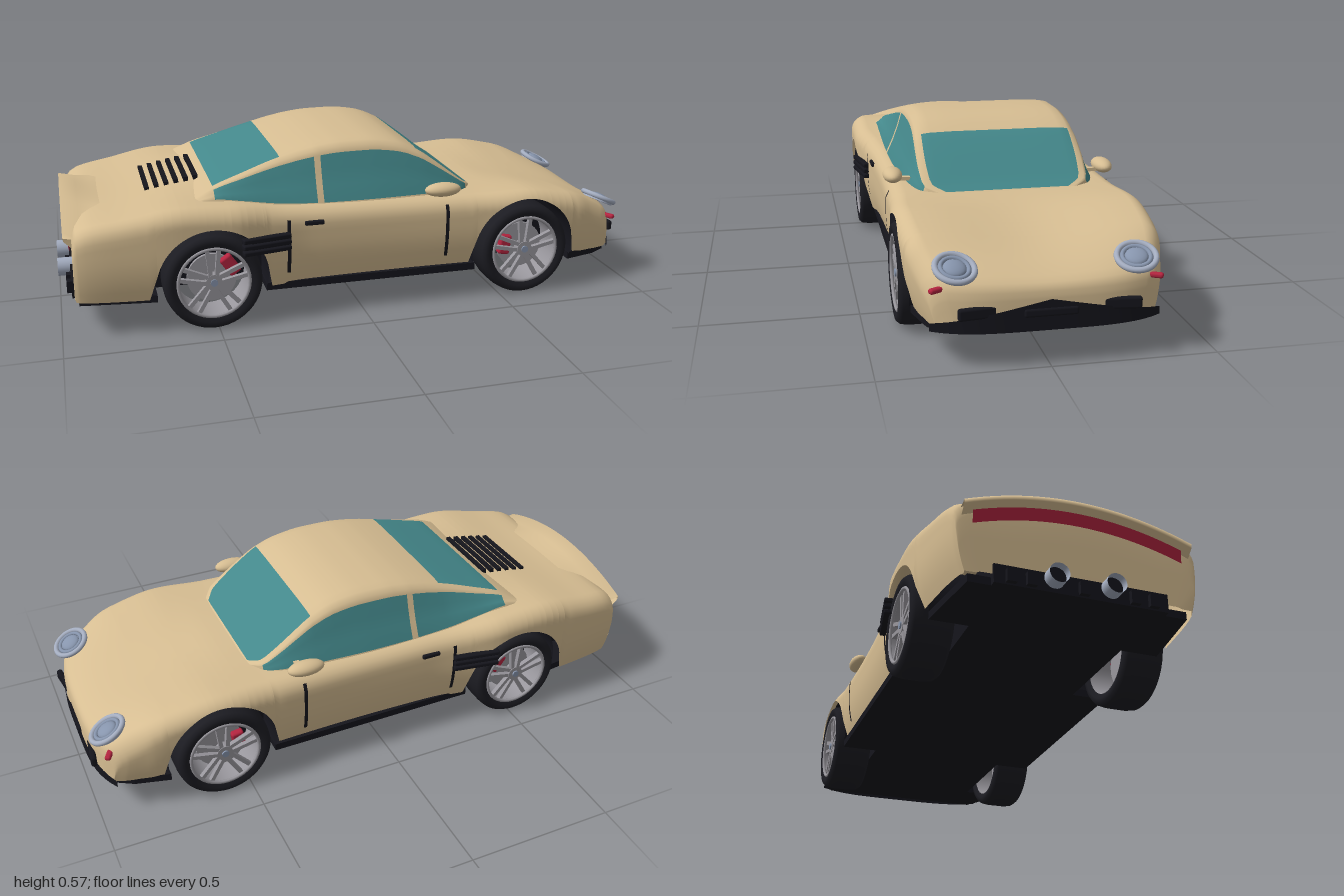
import * as THREE from 'three';
import { RoundedBoxGeometry } from 'three/addons/geometries/RoundedBoxGeometry.js';

const mat = (name, color, side = THREE.DoubleSide) => {
  const m = new THREE.MeshStandardMaterial({ color, side });
  m.name = name;
  return m;
};

// Smooth monotone curve through [x, y] points
function curve(pts) {
  const d = pts.slice(1).map((p, i) => (p[1] - pts[i][1]) / (p[0] - pts[i][0]));
  const m = pts.map((_, i) => {
    const a = d[i - 1] ?? d[i], b = d[i] ?? d[i - 1];
    return a * b <= 0 ? 0 : (2 * a * b) / (a + b);
  });
  return (x) => {
    if (x <= pts[0][0]) return pts[0][1];
    const i = pts.findIndex((p) => p[0] >= x) - 1;
    if (i < 0) return pts[pts.length - 1][1];
    const h = pts[i + 1][0] - pts[i][0], t = (x - pts[i][0]) / h, u = 1 - t;
    return u * u * (1 + 2 * t) * pts[i][1] + t * t * (3 - 2 * t) * pts[i + 1][1]
      + h * t * u * (u * m[i] - t * m[i + 1]);
  };
}

// Skin over rows of points; pick(i, j) gives the material slot of a cell
function loft(rows, pick = () => 0, slots = 1) {
  const n = rows[0].length, lists = Array.from({ length: slots }, () => []);
  for (let i = 0; i < rows.length - 1; i++) for (let j = 0; j < n - 1; j++) {
    const a = i * n + j, b = a + n;
    lists[pick(i, j)].push(a, b, a + 1, b, b + 1, a + 1);
  }
  const g = new THREE.BufferGeometry();
  g.setAttribute('position', new THREE.Float32BufferAttribute(rows.flat(2), 3));
  g.setIndex(lists.flat());
  let start = 0;
  lists.forEach((l, k) => { g.addGroup(start, l.length, k); start += l.length; });
  g.computeVertexNormals();
  return g;
}
const mirrorRow = (half) => [...half, ...half.slice(0, -1).reverse().map(([x, y, z]) => [x, y, -z])];
const range = (a, b, n) => Array.from({ length: n + 1 }, (_, i) => a + ((b - a) * i) / n);

// Body lines along the length
const width = curve([[-0.952, 0.375], [-0.93, 0.388], [-0.8, 0.41], [-0.6, 0.427], [-0.45, 0.428], [-0.3, 0.4],
  [-0.18, 0.386], [0.1, 0.381], [0.4, 0.387], [0.57, 0.401], [0.7, 0.395], [0.8, 0.385], [0.9, 0.37], [0.95, 0.36], [0.987, 0.345]]);
const fender = curve([[-0.952, 0.13], [-0.95, 0.31], [-0.94, 0.352], [-0.9, 0.373], [-0.8, 0.39], [-0.6, 0.42], [-0.45, 0.412],
  [-0.25, 0.383], [0, 0.374], [0.4, 0.369], [0.58, 0.373], [0.75, 0.347], [0.9, 0.295], [0.96, 0.26], [0.98, 0.235], [0.986, 0.2], [0.987, 0.13]]);
const deck = curve([[-0.952, 0.13], [-0.95, 0.35], [-0.9, 0.378], [-0.8, 0.388], [-0.7, 0.405], [-0.6, 0.425], [-0.49, 0.44],
  [-0.38, 0.42], [-0.25, 0.36], [0.2, 0.35], [0.4, 0.364], [0.48, 0.362], [0.6, 0.347], [0.75, 0.317], [0.9, 0.277], [0.96, 0.25], [0.98, 0.23], [0.986, 0.2], [0.987, 0.13]]);
const AXLES = [-0.513, 0.585], HUB = 0.163, ARCH = 0.185, R = 0.055;
const sill = (x) => {
  let y = x > 0.98 || x < -0.949 ? 0.125 : 0.118;
  for (const c of AXLES) if (Math.abs(x - c) < ARCH) y = Math.max(y, HUB + Math.sqrt(ARCH ** 2 - (x - c) ** 2));
  return y;
};
const side = (x, y) => {
  const over = Math.min(R, Math.max(0, y - fender(x) + R));
  return width(x) - 0.025 * (Math.max(0, 0.27 - y) / 0.15) ** 2 - R + Math.sqrt(R * R - over * over);
};
const sweep = (z) => 0.07 * (Math.abs(z) / 0.36) ** 4;
const noseX = (x, z) => x - THREE.MathUtils.smoothstep(x, 0.77, 0.985) * sweep(z);

function bodyGeometry() {
  const xs = [-0.952, -0.951, -0.95, -0.947, -0.943, ...range(-0.935, 0.95, 70), 0.96, 0.97, 0.975, 0.98, 0.983, 0.985, 0.986, 0.9865, 0.987];
  for (const c of AXLES) for (const t of range(0, Math.PI, 28)) xs.push(c + 0.1801 * Math.cos(t));
  xs.sort((a, b) => a - b);
  return loft(xs.map((x) => {
    const y0 = sill(x), y1 = Math.max(fender(x), y0 + 0.002), top = side(x, y1);
    const half = range(0, 1, 12).map((t) => {
      const y = y0 + (y1 - y0) * Math.sin((t * Math.PI) / 2);
      return [noseX(x, side(x, y)), y, side(x, y)];
    });
    for (const t of range(0.125, 1, 7)) {
      const z = top * (1 - t);
      half.push([noseX(x, z), y1 + (deck(x) - y1) * t * t * (3 - 2 * t), z]);
    }
    return mirrorRow(half);
  }));
}

// Cabin: slot 0 paint, slot 1 glass
function cabinGeometry() {
  const roof = curve([[-0.56, 0.415], [-0.49, 0.452], [-0.4, 0.484], [-0.26, 0.53], [-0.15, 0.557], [-0.05, 0.569], [0.04, 0.57],
    [0.14, 0.557], [0.22, 0.524], [0.28, 0.482], [0.35, 0.427], [0.4, 0.388], [0.435, 0.366]]);
  const belt = curve([[-0.56, 0.413], [-0.49, 0.421], [-0.4, 0.408], [-0.25, 0.386], [-0.1, 0.378], [0.3, 0.374], [0.435, 0.365]]);
  const base = curve([[-0.56, 0.34], [-0.3, 0.336], [0, 0.335], [0.2, 0.325], [0.32, 0.31], [0.39, 0.285], [0.435, 0.225]]);
  const rail = curve([[-0.56, 0.31], [-0.4, 0.29], [-0.25, 0.274], [0.1, 0.27], [0.3, 0.275], [0.39, 0.268], [0.435, 0.215]]);
  const xs = [...range(-0.56, -0.49, 2), ...range(-0.46, -0.26, 7), -0.2, -0.147, -0.125, ...range(-0.08, 0.18, 8),
    ...range(0.22, 0.4, 10), 0.41, 0.42, 0.43, 0.435];
  const rows = xs.map((x) => {
    const h = roof(x), yw = belt(x), H = h - yw, b = base(x), r = rail(x);
    const at = (f, k) => [x, yw + k * H, b + (r + 0.008 - b) * f];
    return mirrorRow([[x, yw - 0.035, b + 0.008], at(0, 0), at(0.42, 0.28), at(0.75, 0.55), at(1, 0.81),
      [x, yw + 0.9 * H, r], [x, yw + 0.965 * H, r - 0.018], [x, yw + 0.988 * H, r * 0.82], [x, h, r * 0.55], [x, h, r * 0.28], [x, h, 0]]);
  });
  return loft(rows, (i, j) => {
    const x = (xs[i] + xs[i + 1]) / 2, k = Math.min(j, 19 - j);
    if (k >= 6) return (x > 0.22 && x < 0.431) || (x > -0.49 && x < -0.26) ? 1 : 0;
    return k >= 1 && k <= 3 && x > -0.49 && x < 0.4 && !(x > -0.147 && x < -0.125) ? 1 : 0;
  }, 2);
}

export function createModel() {
  const car = new THREE.Group();
  car.name = 'sportsCar';
  const paint = mat('tanPaint', 0xd6bd92), glass = mat('tealGlass', 0x44888b), black = mat('blackTrim', 0x15151c);
  const rubber = mat('tyreRubber', 0x1c1c22), metal = mat('wheelMetal', 0x98969c), chrome = mat('paleChrome', 0xa4adc0);
  const lens = mat('lampLens', 0x8795ad), red = mat('redLamp', 0xb3243f);
  const add = (name, geo, m, x = 0, y = 0, z = 0, parent = car) => {
    const mesh = new THREE.Mesh(geo, m);
    mesh.name = name;
    mesh.position.set(x, y, z);
    parent.add(mesh);
    return mesh;
  };
  const box = (w, h, d) => new THREE.BoxGeometry(w, h, d);
  const axial = (r, len, seg = 32) => new THREE.CylinderGeometry(r, r, len, seg).rotateX(Math.PI / 2);

  add('body', bodyGeometry(), paint);
  add('cabin', cabinGeometry(), [paint, glass]);

  // Underbody with notches for the wheels
  const edge = [[-0.94, 0.34]];
  for (const c of AXLES) edge.push([c - 0.18, 0.375], [c - 0.18, 0.25], [c + 0.18, 0.25], [c + 0.18, 0.37]);
  edge.push([0.88, 0.34], [0.93, 0.31]);
  const plan = new THREE.Shape([...edge, ...edge.slice().reverse().map(([x, z]) => [x, -z])].map((p) => new THREE.Vector2(...p)));
  add('floor', new THREE.ExtrudeGeometry(plan, { depth: 0.025, bevelEnabled: false }).rotateX(Math.PI / 2), black, 0, 0.125, 0);
  add('chassisCore', box(1.76, 0.14, 0.5), black, -0.01, 0.17, 0);
  add('splitter', box(0.1, 0.012, 0.62), black, 0.885, 0.106, 0);

  // Nose grille and intakes
  add('noseGrille', loft(range(-0.34, 0.34, 24).map((z) => [0.2 - 0.2 * Math.abs(z), 0.108].map((y) => [0.991 - sweep(z), y, z]))), black);
  add('centreIntake', new RoundedBoxGeometry(0.02, 0.027, 0.16, 2, 0.008), black, 0.985, 0.162, 0);

  // Ducktail lip and tail lamp strip
  const lip = (z) => 0.41 - 0.068 * (z / 0.36) ** 2;
  add('tailLip', loft(range(-0.36, 0.36, 24).map((z) => {
    const y = lip(z);
    return [[-0.8, 0.38], [-0.87, Math.min(y - 0.012, 0.385)], [-0.92, y - 0.012], [-0.975, y], [-0.972, y - 0.012], [-0.94, y - 0.045]].map(([x, v]) => [x, v, z]);
  })), paint);
  add('tailLampStrip', loft(range(-0.33, 0.33, 20).map((z) => [[-0.962, lip(z) - 0.032], [-0.956, lip(z) - 0.072]].map(([x, y]) => [x, y, z]))), red);
  add('diffuser', box(0.1, 0.06, 0.54), black, -0.91, 0.13, 0);
  for (const z of [-0.22, -0.16, 0, 0.16, 0.22]) add('diffuserFin', box(0.06, 0.04, 0.03), black, -0.945, 0.125, z);

  // Engine louvres
  for (const x of range(-0.69, -0.525, 5)) add('engineLouvre', box(0.015, 0.016, 0.27), black, x, deck(x) + 0.002, 0);

  for (const s of [1, -1]) {
    add('outerIntake', new RoundedBoxGeometry(0.02, 0.036, 0.115, 2, 0.008), black, 0.98, 0.17, s * 0.21).rotation.y = s * 0.12;
    add('indicator', new RoundedBoxGeometry(0.02, 0.016, 0.052, 2, 0.007), red, 0.942, 0.232, s * 0.318).rotation.y = s * 0.5;

    // Headlight: ring, inner ring and lens
    const lamp = new THREE.Group();
    lamp.name = 'headlight';
    lamp.position.set(0.93, 0.288, s * 0.265);
    lamp.quaternion.setFromUnitVectors(new THREE.Vector3(0, 0, 1), new THREE.Vector3(0.42, 0.9, -s * 0.1).normalize());
    add('lampRing', new THREE.TorusGeometry(0.057, 0.009, 10, 32), chrome, 0, 0, 0, lamp);
    add('lampInnerRing', new THREE.TorusGeometry(0.041, 0.007, 8, 32), lens, 0, 0, 0, lamp);
    add('lampBowl', axial(0.055, 0.014), chrome, 0, 0, -0.007, lamp);
    add('lampLens', new THREE.SphereGeometry(0.034, 20, 10).scale(1, 1, 0.4), lens, 0, 0, 0, lamp);
    car.add(lamp);

    // Door gaps and handle
    for (const x of [-0.26, 0.295])
      add('doorGap', loft(range(0.162, 0.348, 8).map((y) => [-0.006, 0.006].map((o) => [x + o, y, s * (side(x, y) + 0.004)]))), black);
    add('doorHandle', new RoundedBoxGeometry(0.066, 0.015, 0.016, 2, 0.005), black, -0.172, 0.33, s * 0.386);

    // Side intake slats
    const vent = new THREE.Group();
    vent.name = 'sideIntake';
    vent.position.set(-0.338, 0.28, s * 0.412);
    vent.rotation.y = s * 0.17;
    for (const y of [-0.021, 0, 0.021]) add('slat', new RoundedBoxGeometry(0.165, 0.016, 0.03, 2, 0.005), black, 0, y, 0, vent);
    add('ventBack', box(0.13, 0.056, 0.018), black, 0.012, 0, -s * 0.006, vent);
    car.add(vent);

    // Door mirror
    add('mirrorShell', new THREE.SphereGeometry(1, 24, 16).scale(0.064, 0.024, 0.032), paint, 0.283, 0.399, s * 0.362);
    add('mirrorStalk', box(0.02, 0.012, 0.05), paint, 0.295, 0.388, s * 0.33);

    // Exhaust
    add('exhaustPipe', new THREE.CylinderGeometry(0.031, 0.031, 0.1, 24, 1, true).rotateZ(Math.PI / 2), chrome, -0.95, 0.144, s * 0.088);
    add('exhaustBore', new THREE.CircleGeometry(0.03, 24).rotateY(-Math.PI / 2), black, -0.975, 0.144, s * 0.088);

    AXLES.forEach((x, k) => {
      // Wheel well
      const cut = 0.22;
      add('wheelArchLiner', new THREE.CylinderGeometry(0.187, 0.187, 0.135, 32, 1, true, Math.PI / 2 - cut, Math.PI + 2 * cut).rotateX(Math.PI / 2), black, x, HUB, s * 0.307);
      add('wheelArchWall', new THREE.CircleGeometry(0.187, 32, -cut, Math.PI + 2 * cut), black, x, HUB, s * 0.242);

      // Wheel, outer face towards local +z
      const wheel = new THREE.Group();
      wheel.name = k ? 'frontWheel' : 'rearWheel';
      wheel.position.set(x, HUB, s * (k ? 0.33 : 0.35));
      const out = (z) => s * z;
      const half = [[0.12, 0.062], [0.135, 0.07], [0.15, 0.068], [0.159, 0.057], [0.163, 0.03]];
      const profile = [...half.map(([r, h]) => [r, -h]), ...half.slice().reverse()].map((p) => new THREE.Vector2(...p));
      add('tyre', new THREE.LatheGeometry(profile, 48).rotateX(Math.PI / 2), rubber, 0, 0, 0, wheel);
      add('rimBarrel', new THREE.CylinderGeometry(0.119, 0.119, 0.125, 40, 1, true).rotateX(Math.PI / 2), metal, 0, 0, 0, wheel);
      add('rimLip', new THREE.TorusGeometry(0.117, 0.006, 8, 40), metal, 0, 0, out(0.062), wheel);
      add('brakeDisc', axial(0.082, 0.012), metal, 0, 0, out(0.005), wheel);
      add('hub', axial(0.027, 0.03, 24), metal, 0, 0, out(0.045), wheel);
      add('hubCap', axial(0.012, 0.006, 16), lens, 0, 0, out(0.062), wheel);
      for (let i = 0; i < 5; i++) for (const f of [-1, 1]) {
        const a = Math.PI / 2 + (i * Math.PI * 2) / 5;
        const spoke = new THREE.BoxGeometry(0.1, 0.013, 0.016).translate(0.066, 0, 0).rotateZ(f * 0.1).translate(0, f * 0.008, 0).rotateZ(a);
        add('spoke', spoke, metal, 0, 0, out(0.05), wheel);
      }
      const caliper = add('brakeCaliper', new RoundedBoxGeometry(0.042, 0.07, 0.03, 2, 0.008), red, k ? -0.06 : 0.06, k ? 0.01 : 0.042, out(0.018), wheel);
      caliper.rotation.z = k ? -0.15 : 0.6;
      car.add(wheel);
    });
  }
  return car;
}
